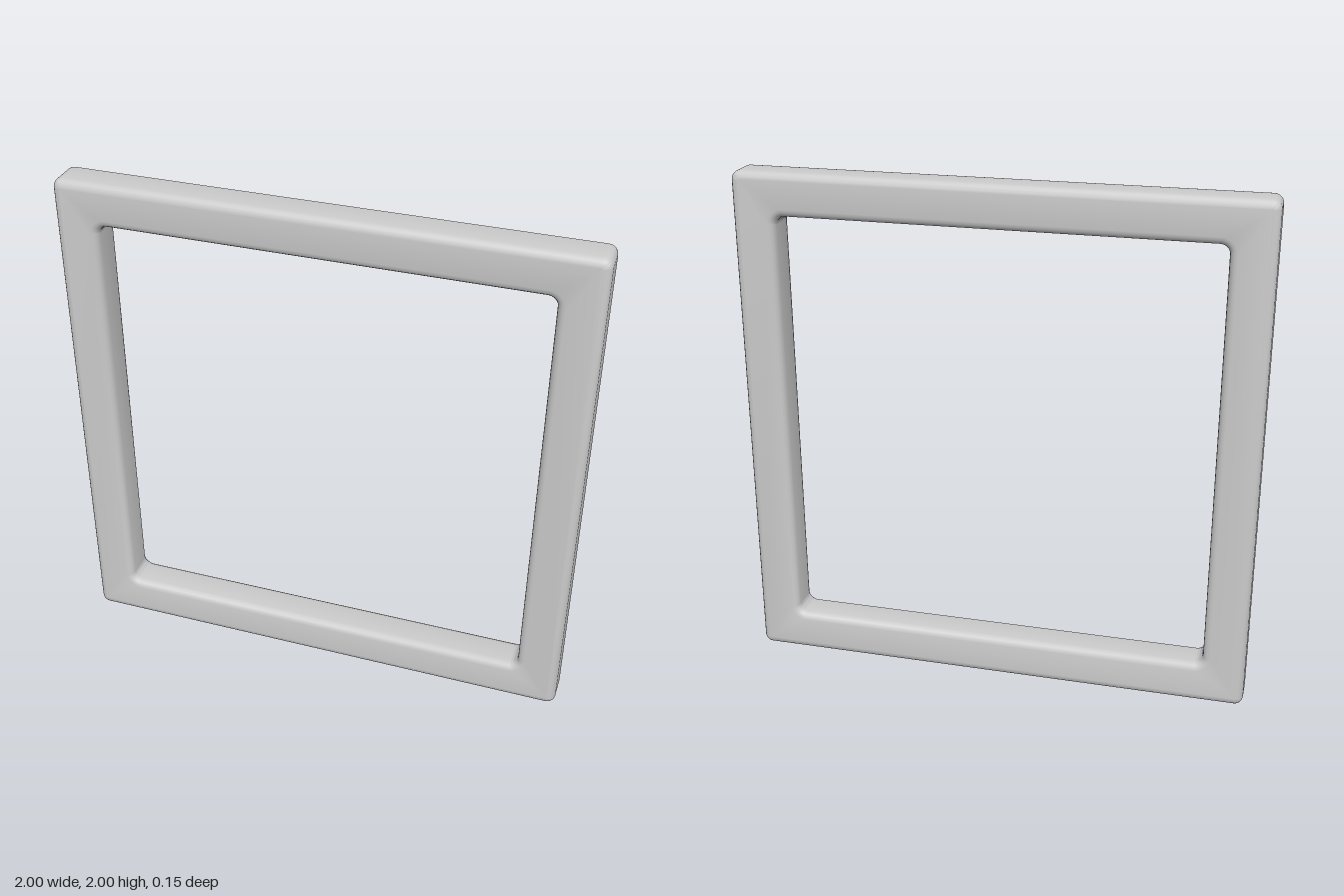
import * as THREE from 'three';
import { toCreasedNormals } from 'three/addons/utils/BufferGeometryUtils.js';

const OUTER = 1;       // half size of the frame
const INNER = 0.835;   // half size of the opening
const DEPTH = 0.15;
const BEVEL = 0.03;
const CORNER = 0.035;

// Rounded square outline centred on the origin
function roundedSquare(path, h, r) {
  const c = h - r;
  path.moveTo(-c, -h);
  path.lineTo(c, -h);
  path.absarc(c, -c, r, -Math.PI / 2, 0);
  path.lineTo(h, c);
  path.absarc(c, c, r, 0, Math.PI / 2);
  path.lineTo(-c, h);
  path.absarc(-c, c, r, Math.PI / 2, Math.PI);
  path.lineTo(-h, -c);
  path.absarc(-c, -c, r, Math.PI, Math.PI * 1.5);
  return path;
}

export function createModel() {
  const group = new THREE.Group();
  group.name = 'squareFrame';

  // Outline with a square opening, rounded over on every edge
  const shape = roundedSquare(new THREE.Shape(), OUTER, CORNER);
  shape.holes.push(roundedSquare(new THREE.Path(), INNER, CORNER));

  const geometry = new THREE.ExtrudeGeometry(shape, {
    depth: DEPTH - 2 * BEVEL,
    bevelEnabled: true,
    bevelThickness: BEVEL,
    bevelSize: BEVEL,
    bevelOffset: -BEVEL,
    bevelSegments: 4,
    curveSegments: 5,
  });
  geometry.translate(0, OUTER, -(DEPTH / 2 - BEVEL));

  const frame = new THREE.Mesh(
    toCreasedNormals(geometry, 0.6),
    new THREE.MeshStandardMaterial({ color: 0xcccccc })
  );
  frame.name = 'frame';
  group.add(frame);
  return group;
}
